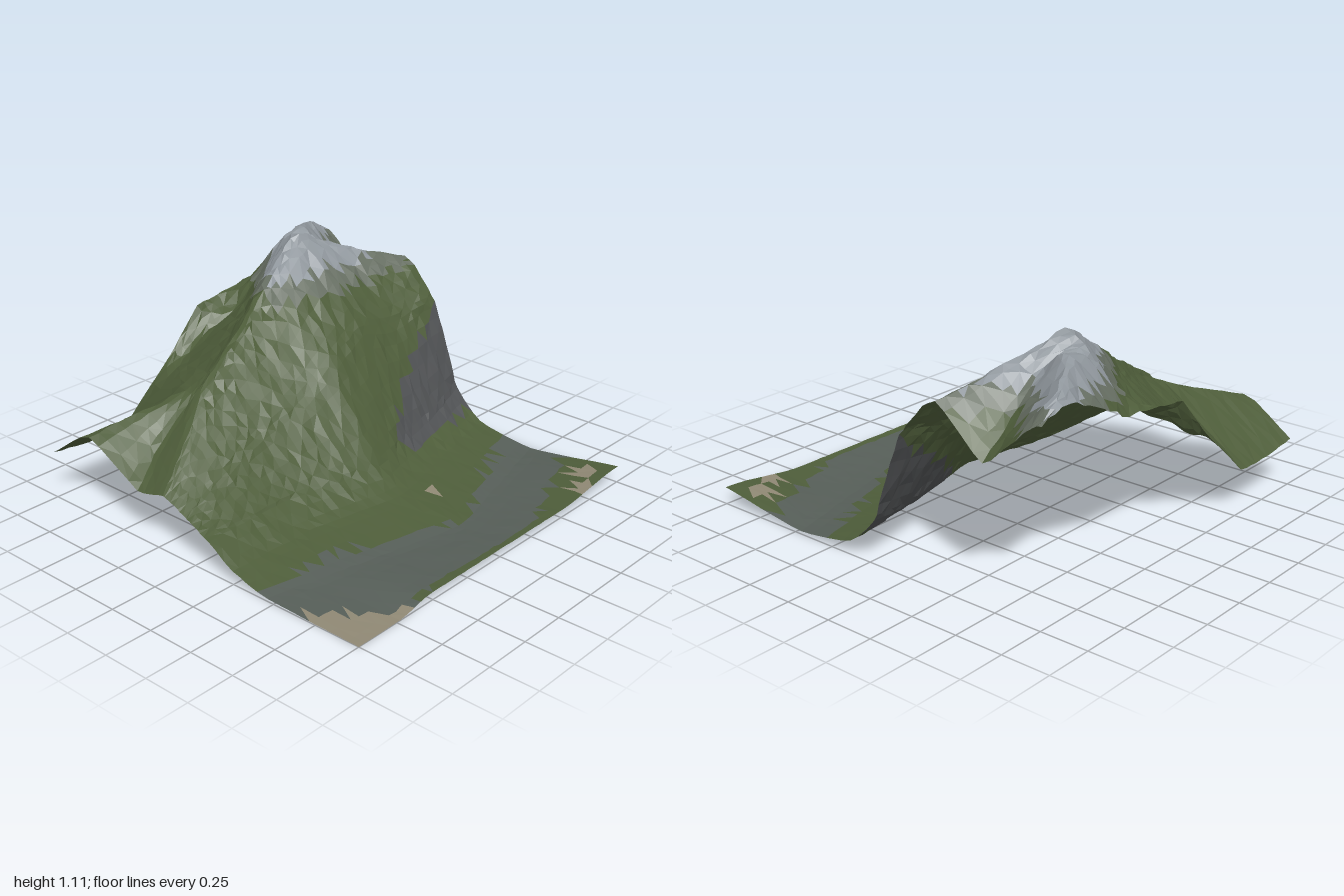
import * as THREE from 'three';

const { lerp, clamp, smoothstep } = THREE.MathUtils;

// Heights behind the front face, by x: main ridge z, y; hollow z, y; rear spur z, y; back edge y
const REAR = [
  [-1, -0.2, 0.29, -0.38, 0.255, -0.72, 0.425, 0.25],
  [-0.8, -0.28, 0.42, -0.46, 0.37, -0.64, 0.485, 0.225],
  [-0.55, -0.4, 0.59, -0.46, 0.575, -0.55, 0.56, 0.22],
  [-0.2, -0.49, 0.77, -0.6, 0.69, -0.94, 0.49, 0.53],
  [0, -0.55, 0.875, -0.67, 0.78, -0.92, 0.63, 0.74],
  [0.15, -0.59, 0.97, -0.73, 0.85, -0.87, 0.7, 0.76],
  [0.42, -0.65, 1.11, -0.75, 1.07, -0.83, 1.0, 0.79],
  [0.58, -0.58, 1.03, -0.68, 1.0, -0.81, 1.085, 0.87],
  [0.7, -0.53, 0.98, -0.68, 0.9, -0.87, 1.05, 0.92],
  [0.85, -0.48, 0.93, -0.685, 0.79, -0.95, 1.0, 0.975],
  [1, -0.42, 0.89, -0.69, 0.68, -0.9, 0.86, 0.92],
];

// Facet rows between neighbouring profile points, front to back
const ROWS = [6, 4, 3, 8, 9, 4, 4, 4];

const COLORS = {
  grass: 0x4e5d3a, track: 0x565e58, sand: 0x8f8874,
  cliff: 0x505254, scree: 0x687064, summit: 0x90979d,
};

// Repeatable noise in -1..1
function hash(i, j, k) {
  const s = Math.sin(i * 127.1 + j * 311.7 + k * 74.7) * 43758.5453;
  return (s - Math.floor(s)) * 2 - 1;
}

// Smooth profile from the front edge to the back edge at any x
function profileAt(x) {
  let s = 0;
  while (s < REAR.length - 2 && x > REAR[s + 1][0]) s++;
  const a = REAR[s], b = REAR[s + 1];
  const t = (x - a[0]) / (b[0] - a[0]);
  const [ridgeZ, ridgeY, hollowZ, hollowY, spurZ, spurY, backY] =
    a.slice(1).map((v, n) => lerp(v, b[n + 1], t));

  // The foot of the mountain bulges forward near x = 0.1
  const lowZ = x < 0.1 ? 0.09 + 0.1 * smoothstep(x, -0.55, 0.1) : 0.19 - 0.25 * (x - 0.1);
  const lowY = 0.16 + 0.06 * Math.max(0, x) ** 4;
  const steep = 0.5 + 0.07 * smoothstep(x, -0.2, 0.2) + 0.12 * smoothstep(x, 0.6, 1);
  const frontY = 0.04 * smoothstep(x, -0.75, -0.5) + 0.05 * smoothstep(x, 0.5, 1);
  const trackZ = 0.7 - (x < 0.1 ? 0.22 : 0.26) * Math.abs(x - 0.1);

  return new THREE.CatmullRomCurve3([
    new THREE.Vector3(x, frontY, 1),
    new THREE.Vector3(x, 0.014, trackZ),
    new THREE.Vector3(x, 0.068, lowZ + 0.16),
    new THREE.Vector3(x, lowY, lowZ),
    new THREE.Vector3(x, lerp(lowY, ridgeY, steep), lerp(lowZ, ridgeZ, 0.46)),
    new THREE.Vector3(x, ridgeY, ridgeZ),
    new THREE.Vector3(x, hollowY, hollowZ),
    new THREE.Vector3(x, spurY, spurZ),
    new THREE.Vector3(x, backY, -1),
  ], false, 'catmullrom', 0.25);
}

// Ground cover at a point
function zoneAt({ x, y, z }, n) {
  const near = (px, pz, r) => Math.hypot(x - px, z - pz) < r;
  if (x < -0.62 && z > 0.62 && z > 0.74 + (x + 0.9) * 0.95) return 'sand';
  if (near(0.74, 0.95, 0.06) || near(0.87, 0.86, 0.06) || near(0.22, 0.42, 0.04)) return 'sand';
  const yn = y + n * 0.025, zn = z + n * 0.015;
  if (x > 0.05 && yn > 0.94) return 'summit';
  if (x > 0.05 && yn > 0.85) return 'scree';
  if (x > 0.35 && z < 0.15 && z > -0.3 && y > 0.12 && yn < 0.25 + 0.63 * (x - 0.35)) return 'cliff';
  const inner = x < 0.15 ? Math.max(0.42, 0.68 - 0.35 * (0.15 - x)) : 0.68 - 0.48 * (x - 0.15);
  const outer = x < -0.6 ? 1.1 : 0.96 - 0.45 * Math.max(0, x - 0.35);
  return zn > inner && zn < outer ? 'track' : 'grass';
}

export function createModel() {
  const group = new THREE.Group();
  group.name = 'mountainTerrain';
  const NX = 44;

  // Curve parameters of the grid rows
  const steps = ROWS.flatMap((count, s) =>
    Array.from({ length: count }, (_, k) => (s + k / count) / ROWS.length));
  steps.push(1);
  const NZ = steps.length - 1;

  // Grid of ground points, roughened inside the border
  const grid = [];
  for (let i = 0; i <= NX; i++) {
    const row = [];
    for (let j = 0; j <= NZ; j++) {
      const edgeX = i === 0 || i === NX, edgeZ = j === 0 || j === NZ;
      const x = -1 + (2 * i) / NX + (edgeX ? 0 : hash(i, j, 1) * 0.01);
      const p = profileAt(x).getPoint(steps[j]);
      if (!edgeZ) p.z = clamp(p.z + hash(i, j, 2) * 0.006, -1, 1);
      const rough = 0.003 + 0.008 * smoothstep(p.y, 0.4, 1);
      p.y = Math.max(0, p.y + hash(i, j, 3) * rough * (p.z < -0.35 ? 1 : 0.4));
      row.push(p);
    }
    grid.push(row);
  }

  // Sort the facets by ground cover
  const facets = {};
  for (const zone of Object.keys(COLORS)) facets[zone] = [];
  const addFacet = (a, b, c, n) => {
    const mid = new THREE.Vector3().add(a).add(b).add(c).divideScalar(3);
    const list = facets[zoneAt(mid, n)];
    for (const p of [a, b, c]) list.push(p.x, p.y, p.z);
  };
  for (let i = 0; i < NX; i++) {
    for (let j = 0; j < NZ; j++) {
      const a = grid[i][j], b = grid[i + 1][j], c = grid[i + 1][j + 1], d = grid[i][j + 1];
      const n = hash(i, j, 4);
      if ((i + j) % 2) {
        addFacet(a, b, c, n);
        addFacet(a, c, d, n);
      } else {
        addFacet(a, b, d, n);
        addFacet(b, c, d, n);
      }
    }
  }

  // One mesh for each ground cover
  for (const [zone, list] of Object.entries(facets)) {
    const geometry = new THREE.BufferGeometry();
    geometry.setAttribute('position', new THREE.Float32BufferAttribute(list, 3));
    geometry.computeVertexNormals();
    const mesh = new THREE.Mesh(geometry, new THREE.MeshStandardMaterial({
      color: COLORS[zone], flatShading: true, side: THREE.DoubleSide,
    }));
    mesh.name = zone;
    group.add(mesh);
  }
  return group;
}
